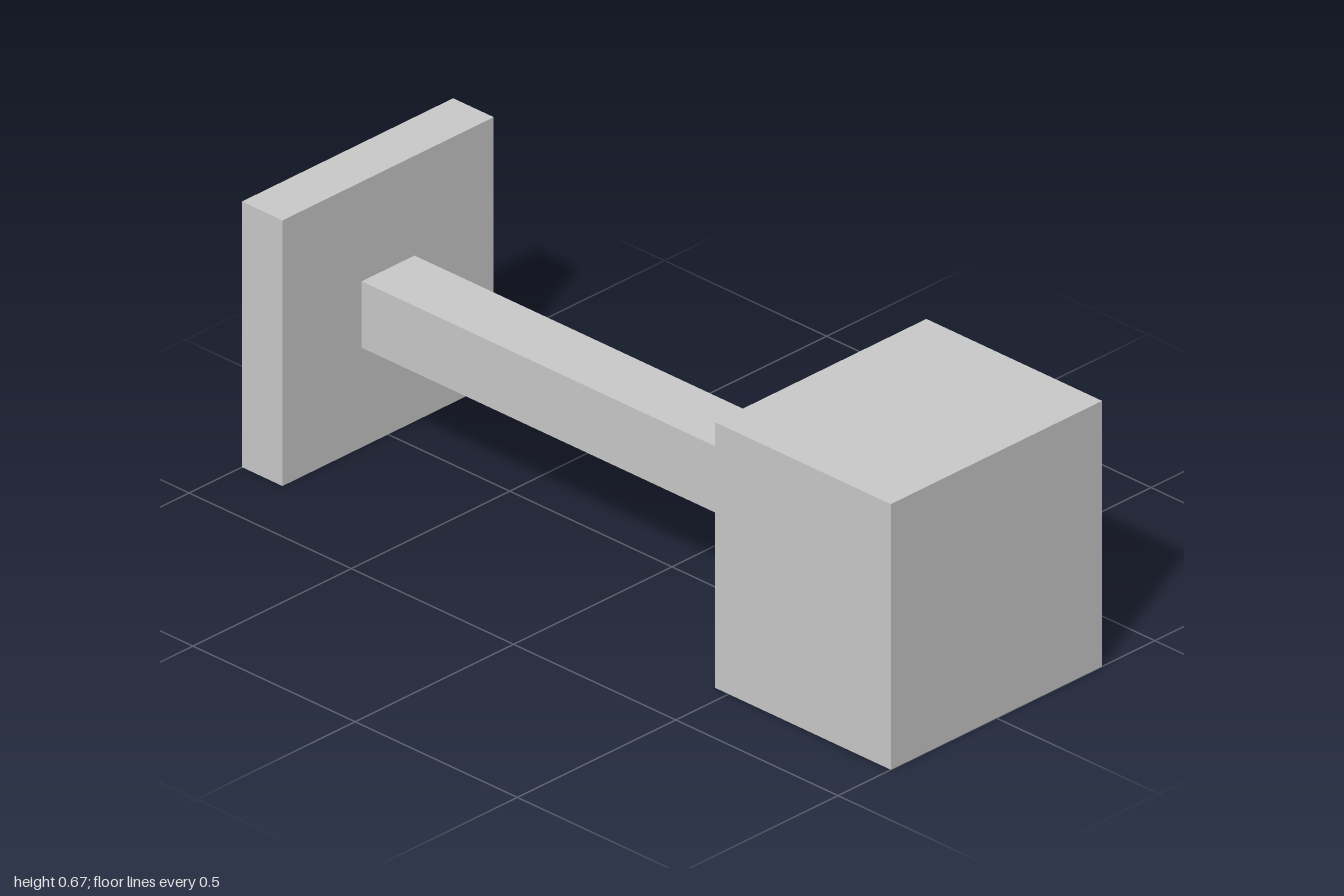
import * as THREE from 'three';

const UNIT = 1 / 12; // the model is 24 units long
const SIZE = 8 * UNIT; // width and height of both ends
const HEAD = 6.5 * UNIT;
const PLATE = 1.5 * UNIT;
const BAR = 2 * UNIT;

export function createModel() {
  const group = new THREE.Group();
  const material = new THREE.MeshStandardMaterial({ color: 0xcccccc, flatShading: true });

  // Square block spanning zBack to zFront, centred at mid height
  function addBlock(name, size, zBack, zFront) {
    const mesh = new THREE.Mesh(new THREE.BoxGeometry(size, size, zFront - zBack), material);
    mesh.name = name;
    mesh.position.set(0, SIZE / 2, (zBack + zFront) / 2);
    group.add(mesh);
  }

  addBlock('headBlock', SIZE, 1 - HEAD, 1);
  addBlock('connectingBar', BAR, -1 + PLATE, 1 - HEAD);
  addBlock('backPlate', SIZE, -1, -1 + PLATE);

  return group;
}
